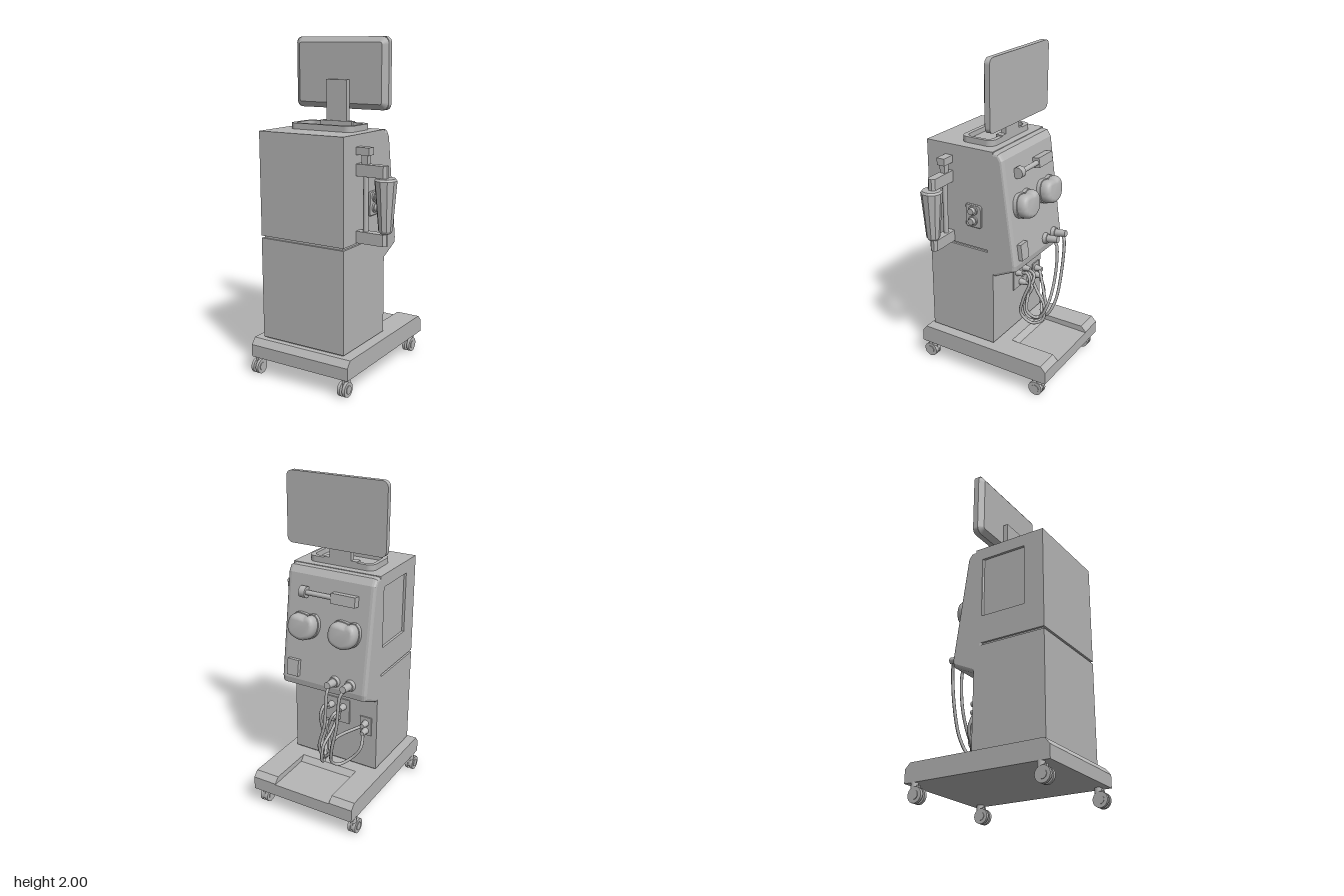
import * as THREE from 'three';
import { toCreasedNormals } from 'three/addons/utils/BufferGeometryUtils.js';

const grey = new THREE.MeshStandardMaterial({ color: 0xb6b6b6 });
grey.name = 'casing grey';

const V = (x, y, z) => new THREE.Vector3(x, y, z);

function add(parent, name, geo, x = 0, y = 0, z = 0) {
  const mesh = new THREE.Mesh(geo, grey);
  mesh.name = name;
  mesh.position.set(x, y, z);
  parent.add(mesh);
  return mesh;
}

// Box given by its limits on each axis
function box(parent, name, [x0, x1], [y0, y1], [z0, z1]) {
  return add(parent, name, new THREE.BoxGeometry(x1 - x0, y1 - y0, z1 - z0),
    (x0 + x1) / 2, (y0 + y1) / 2, (z0 + z1) / 2);
}

// Cylinder along the x, y or z axis; r0 is the radius at the positive end
function rod(parent, name, axis, r0, r1, length, pos, sides = 20) {
  const geo = new THREE.CylinderGeometry(r0, r1, length, sides);
  if (axis === 'x') geo.rotateZ(-Math.PI / 2);
  if (axis === 'z') geo.rotateX(Math.PI / 2);
  return add(parent, name, geo, ...pos);
}

const polygon = (pts) => new THREE.Shape(pts.map((p) => new THREE.Vector2(...p)));

function roundRect(w, h, r) {
  const s = new THREE.Shape();
  const x = w / 2, y = h / 2;
  s.absarc(x - r, y - r, r, 0, Math.PI / 2);
  s.absarc(-x + r, y - r, r, Math.PI / 2, Math.PI);
  s.absarc(-x + r, -y + r, r, Math.PI, Math.PI * 1.5);
  s.absarc(x - r, -y + r, r, Math.PI * 1.5, Math.PI * 2);
  return s;
}

const extrude = (shape, depth, bevel = null) => new THREE.ExtrudeGeometry(shape,
  { depth, curveSegments: 6, bevelEnabled: !!bevel, ...bevel });

// Side profile with points (-z, y), extruded from x0 to x1
function sideExtrude(parent, name, shape, x0, x1, bevel = null) {
  const t = bevel ? bevel.bevelThickness : 0;
  const mesh = add(parent, name, extrude(shape, x1 - x0 - 2 * t, bevel), x0 + t);
  mesh.rotation.y = Math.PI / 2;
  return mesh;
}

function tube(parent, name, pts, r) {
  const curve = new THREE.CatmullRomCurve3(pts.map((p) => V(...p)));
  return add(parent, name, new THREE.TubeGeometry(curve, 90, r, 8));
}

function buildBase(g) {
  const rail = polygon([[-0.45, 0.115], [0.453, 0.115], [0.453, 0.195],
    [0.42, 0.228], [-0.42, 0.228], [-0.45, 0.19]]);
  const middle = polygon([[-0.45, 0.115], [0.453, 0.115], [0.453, 0.19],
    [0.16, 0.195], [0.13, 0.228], [-0.42, 0.228], [-0.45, 0.19]]);
  sideExtrude(g, 'baseRightRail', rail, -0.427, -0.277);
  sideExtrude(g, 'baseMiddle', middle, -0.277, 0.097);
  sideExtrude(g, 'baseLeftRail', rail, 0.097, 0.25);
  // Twin wheel casters
  for (const x of [-0.408, 0.207]) for (const z of [0.408, -0.375]) {
    const caster = new THREE.Group();
    caster.name = 'caster';
    caster.position.set(x, 0.045, z);
    for (const s of [-1, 1]) {
      rod(caster, 'wheel', 'x', 0.045, 0.045, 0.018, [s * 0.016, 0, 0]);
      rod(caster, 'hub', 'x', 0.025, 0.025, 0.006, [s * 0.026, 0, 0]);
    }
    box(caster, 'fork', [-0.008, 0.008], [-0.01, 0.055], [-0.04, 0.015]);
    rod(caster, 'stem', 'y', 0.021, 0.021, 0.04, [0, 0.055, -0.02]);
    g.add(caster);
  }
}

function buildBody(g) {
  box(g, 'plinth', [-0.36, 0.18], [0.22, 0.24], [-0.045, 0.385]);
  box(g, 'lowerCabinet', [-0.373, 0.193], [0.237, 0.848], [-0.055, 0.397]);
  box(g, 'seam', [-0.36, 0.18], [0.84, 0.87], [-0.045, 0.385]);
  box(g, 'upperCabinet', [-0.358, 0.193], [0.862, 1.475], [-0.055, 0.397]);
  // Side wall with a recessed window
  const wall = polygon([[-0.397, 0.862], [0.055, 0.862], [0.055, 1.475], [-0.397, 1.475]]);
  wall.holes.push(polygon([[-0.275, 1.03], [-0.275, 1.4], [0.01, 1.4], [0.01, 1.03]]));
  sideExtrude(g, 'recessedSideWall', wall, -0.373, -0.358);
  // Side socket plate
  const plate = add(g, 'socketPlate', extrude(roundRect(0.1, 0.135, 0.012), 0.004,
    { bevelSize: 0.005, bevelThickness: 0.005, bevelSegments: 1 }), 0.193, 1.063, 0.075);
  plate.rotation.y = Math.PI / 2;
  for (const y of [1.1, 1.036]) {
    rod(g, 'socket', 'x', 0.019, 0.024, 0.03, [0.217, y, 0.075]);
    rod(g, 'socketCollar', 'x', 0.03, 0.03, 0.01, [0.207, y, 0.075]);
  }
}

function buildMonitor(g) {
  // Tray with raised rim
  const rim = roundRect(0.424, 0.218, 0.045);
  rim.holes.push(roundRect(0.378, 0.166, 0.035));
  const tray = add(g, 'trayRim', extrude(rim, 0.036), -0.088, 1.474, 0.1);
  tray.rotation.x = -Math.PI / 2;
  box(g, 'trayFloor', [-0.27, 0.095], [1.47, 1.482], [0.015, 0.18]);
  box(g, 'standFoot', [-0.198, 0.018], [1.48, 1.517], [-0.01, 0.033]);
  box(g, 'standNeck', [-0.16, -0.02], [1.5, 1.755], [-0.01, 0.025]);
  // Screen and tapered rear shell
  add(g, 'screen', extrude(roundRect(0.633, 0.415, 0.035), 0.033), -0.088, 1.7925, -0.063);
  add(g, 'screenShell', extrude(roundRect(0.567, 0.349, 0.012), 0.001,
    { bevelSize: 0.033, bevelThickness: 0.024, bevelSegments: 1 }), -0.088, 1.7925, -0.031);
}

function buildHandle(g) {
  const z = 0.243;
  const arm = polygon([[0.18, -0.025], [0.365, -0.025], [0.38, -0.01], [0.38, 0.01], [0.365, 0.025], [0.18, 0.025]]);
  for (const [name, y] of [['upperArm', 1.247], ['lowerArm', 0.867]]) {
    const m = add(g, name, extrude(arm, 0.068), 0, y, z);
    m.rotation.x = -Math.PI / 2;
  }
  rod(g, 'pole', 'y', 0.015, 0.015, 0.47, [0.243, 1.14, z], 12);
  box(g, 'poleNeck', [0.225, 0.262], [1.31, 1.37], [z - 0.017, z + 0.017]);
  box(g, 'poleCap', [0.19, 0.277], [1.365, 1.408], [z - 0.025, z + 0.025]);
  // Tapered ten sided canister
  const profile = [[0, 0.94], [0.03, 0.94], [0.04, 0.955], [0.064, 1.235], [0.055, 1.247], [0, 1.247]];
  const geo = new THREE.LatheGeometry(profile.map((p) => new THREE.Vector2(...p)), 10).toNonIndexed();
  geo.computeVertexNormals();
  add(g, 'canister', geo, 0.368, 0, z);
}

function buildRearPanel(g) {
  const shape = polygon([[0.02, 0.725], [0.06, 0.715], [0.185, 0.775], [0.188, 0.80],
    [0.1, 1.425], [0.082, 1.452], [0.02, 1.455]]);
  sideExtrude(g, 'rearPanel', shape, -0.373, 0.193,
    { bevelSize: 0.018, bevelThickness: 0.025, bevelSegments: 3 });

  // Fittings on the sloping face; here +z points outwards and +x to the right side
  const f = new THREE.Group();
  f.name = 'panelFittings';
  f.position.set(0, 1.1, -0.157);
  f.rotation.set(0.13, Math.PI, 0);
  g.add(f);

  // Lobed pump covers
  const lobes = [[0.062, 0.02], [0.05, 0.048], [0.02, 0.04], [-0.02, 0.046], [-0.05, 0.045],
    [-0.065, 0.015], [-0.06, -0.025], [-0.03, -0.045], [0.01, -0.05], [0.048, -0.03]];
  const cover = new THREE.Shape().setFromPoints(
    new THREE.CatmullRomCurve3(lobes.map(([x, y]) => V(x, y, 0)), true).getPoints(40).slice(0, -1)
      .map((p) => new THREE.Vector2(p.x, p.y)));
  for (const x of [-0.045, 0.222]) {
    const geo = extrude(cover, 0.015, { bevelSize: 0.026, bevelThickness: 0.036, bevelSegments: 4 });
    add(f, 'pumpCover', toCreasedNormals(geo, 0.7), x, 0.035, 0.04);
    add(f, 'pumpFlange', extrude(cover, 0.03, { bevelSize: 0.03, bevelThickness: 0.005, bevelSegments: 1 }), x, 0.035, 0);
  }

  // Syringe holder
  box(f, 'syringeBlock', [0.123, 0.278], [0.205, 0.265], [-0.01, 0.05]);
  rod(f, 'syringeRod', 'x', 0.015, 0.015, 0.19, [0.03, 0.235, 0.03]);
  rod(f, 'syringeKnob', 'x', 0.034, 0.034, 0.04, [-0.065, 0.235, 0.025]);

  // Detector box
  box(f, 'detectorBox', [-0.145, -0.07], [-0.28, -0.18], [-0.01, 0.035]);

  // Hose couplings
  for (const x of [0.168, 0.27]) {
    rod(f, 'couplingCollar', 'z', 0.03, 0.037, 0.035, [x, -0.26, 0.015]);
    rod(f, 'coupling', 'z', 0.02, 0.025, 0.09, [x, -0.26, 0.055]);
  }
}

function buildHoses(g) {
  // Socket plates on the lower cabinet
  box(g, 'hosePlate', [-0.19, -0.03], [0.5, 0.66], [-0.063, -0.05]);
  box(g, 'drainPlate', [-0.34, -0.265], [0.46, 0.58], [-0.063, -0.05]);
  for (const [x, y] of [[-0.07, 0.61], [-0.15, 0.61], [-0.11, 0.53], [-0.303, 0.54], [-0.303, 0.49]]) {
    rod(g, 'hosePlug', 'z', 0.022, 0.014, 0.05, [x, y, -0.085], 12);
  }
  const r = 0.0095;
  // Hose from a coupling down to the drain
  tube(g, 'drainHose', [[-0.27, 0.835, -0.27], [-0.255, 0.815, -0.287], [-0.23, 0.6, -0.288],
    [-0.19, 0.42, -0.275], [-0.17, 0.32, -0.235], [-0.19, 0.28, -0.18], [-0.25, 0.32, -0.14],
    [-0.305, 0.4, -0.125], [-0.303, 0.49, -0.09]], r);
  tube(g, 'supplyHose', [[-0.168, 0.835, -0.27], [-0.165, 0.81, -0.285], [-0.15, 0.6, -0.286],
    [-0.1, 0.42, -0.265], [-0.1, 0.31, -0.2], [-0.09, 0.31, -0.13], [-0.08, 0.4, -0.11],
    [-0.09, 0.53, -0.16], [-0.11, 0.53, -0.08]], r);
  // Hanging loops
  tube(g, 'hoseLoopA', [[-0.07, 0.61, -0.09], [-0.06, 0.63, -0.14], [-0.05, 0.58, -0.165],
    [-0.04, 0.45, -0.125], [-0.05, 0.34, -0.105], [-0.08, 0.275, -0.17], [-0.1, 0.31, -0.235],
    [-0.11, 0.41, -0.235], [-0.13, 0.49, -0.17], [-0.15, 0.61, -0.09]], r);
  tube(g, 'hoseLoopB', [[-0.15, 0.61, -0.09], [-0.13, 0.59, -0.15], [-0.08, 0.48, -0.14],
    [-0.05, 0.37, -0.15], [-0.09, 0.32, -0.2], [-0.15, 0.37, -0.225], [-0.17, 0.46, -0.2],
    [-0.303, 0.54, -0.09]], r);
}

export function createModel() {
  const model = new THREE.Group();
  model.name = 'wheeledMedicalMachine';
  const parts = { base: buildBase, cabinet: buildBody, monitor: buildMonitor,
    sideHolder: buildHandle, rearControls: buildRearPanel, hoses: buildHoses };
  for (const [name, build] of Object.entries(parts)) {
    const group = new THREE.Group();
    group.name = name;
    build(group);
    model.add(group);
  }
  return model;
}
